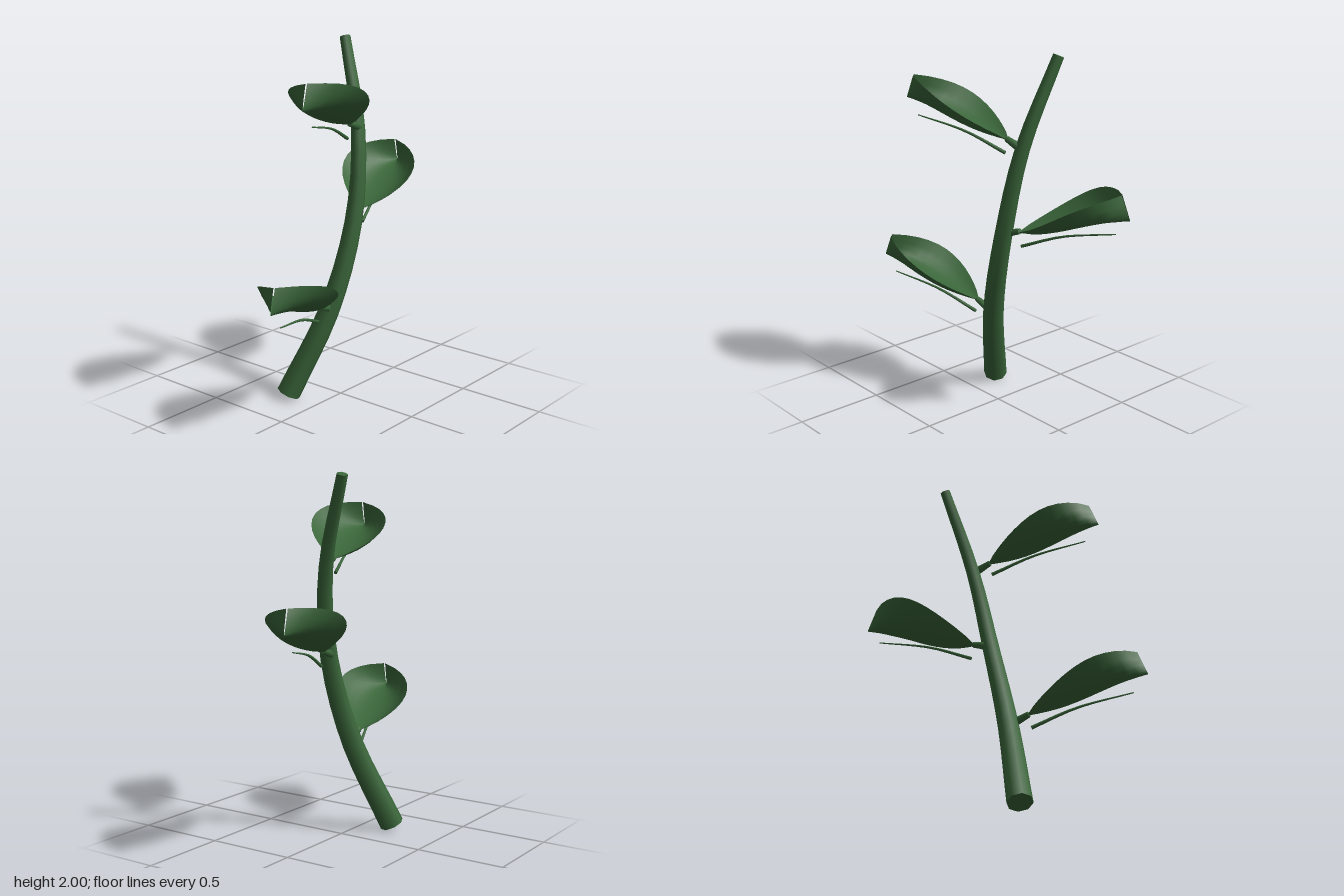
import * as THREE from 'three';

const green = new THREE.MeshStandardMaterial({ color: 0x3a663a, side: THREE.DoubleSide });
green.name = 'leaf green';

const V = (x, y, z) => new THREE.Vector3(x, y, z);

// Tapered, capped tube through a few points
function taperedTube(name, points, r0, r1, segments, sides) {
  const curve = new THREE.CatmullRomCurve3(points);
  const tube = new THREE.TubeGeometry(curve, segments, 1, sides);
  const pos = tube.attributes.position;
  const v = new THREE.Vector3();
  for (let i = 0; i <= segments; i++) {
    const c = curve.getPointAt(i / segments);
    const r = THREE.MathUtils.lerp(r0, r1, i / segments);
    for (let j = 0; j <= sides; j++) {
      const k = i * (sides + 1) + j;
      v.fromBufferAttribute(pos, k).sub(c).multiplyScalar(r).add(c);
      pos.setXYZ(k, v.x, v.y, v.z);
    }
  }
  const group = new THREE.Group();
  group.name = name;
  const side = new THREE.Mesh(tube, green);
  side.name = name + 'Side';
  group.add(side);

  // Flat end caps
  for (const i of [0, segments]) {
    const c = curve.getPointAt(i / segments);
    const fan = [];
    for (let j = 0; j < sides; j++) {
      const k = i * (sides + 1) + j;
      const a = new THREE.Vector3().fromBufferAttribute(pos, k);
      const b = new THREE.Vector3().fromBufferAttribute(pos, k + 1);
      if (i === 0) fan.push(c, a, b);
      else fan.push(c, b, a);
    }
    const geo = new THREE.BufferGeometry().setFromPoints(fan);
    geo.computeVertexNormals();
    const cap = new THREE.Mesh(geo, green);
    cap.name = name + 'Cap';
    group.add(cap);
  }
  return group;
}

// Cupped blade: a pointed outline whose sides rise into a fold toward the tip
function bladeGeometry() {
  const rows = 12, cols = 12, length = 0.645;
  const along = V(-0.95, 0, 0.312), across = V(0.312, 0, 0.95);
  const pts = [], index = [];
  for (let i = 0; i <= rows; i++) {
    const t = i / rows;
    const width = 0.2 * Math.pow(Math.abs(Math.sin(Math.PI * Math.pow(t, 1.1))), 0.8) + 0.004;
    const depth = 0.13 * Math.sin(Math.PI / 2 * Math.pow(t, 0.85));
    const spine = 0.165 * t - 0.01 * Math.sin(2 * Math.PI * t);
    for (let j = 0; j <= cols; j++) {
      const u = (2 * j) / cols - 1;
      const rise = depth * Math.pow(Math.abs(u), 2.4) + 0.12 * width * u;
      const p = along.clone().multiplyScalar(length * t - 0.38 * rise)
        .addScaledVector(across, width * u);
      pts.push(p.setY(spine + rise));
    }
  }
  for (let i = 0; i < rows; i++) {
    for (let j = 0; j < cols; j++) {
      const a = i * (cols + 1) + j, b = a + cols + 1;
      index.push(a, b, a + 1, b, b + 1, a + 1);
    }
  }
  const geo = new THREE.BufferGeometry().setFromPoints(pts);
  geo.setIndex(index);
  geo.computeVertexNormals();
  return geo;
}

// Leaf with its stalk and the slender rib hanging below
function makeLeaf(name, geometry) {
  const leaf = new THREE.Group();
  leaf.name = name;
  const blade = new THREE.Mesh(geometry, green);
  blade.name = 'blade';
  leaf.add(blade);
  leaf.add(taperedTube('stalk', [V(0.1, -0.035, -0.01), V(0.045, -0.012, 0), V(-0.01, 0.006, 0.002)], 0.025, 0.016, 4, 6));
  leaf.add(taperedTube('rib', [V(-0.025, -0.073, 0), V(-0.25, 0.018, 0.085), V(-0.53, 0.077, 0.19)], 0.01, 0.003, 8, 6));
  return leaf;
}

export function createModel() {
  const model = new THREE.Group();
  model.name = 'leafyStem';

  // Bowed main stem
  model.add(taperedTube('stem', [
    V(-0.237, 0.03, -0.185), V(-0.062, 0.54, -0.02), V(0.082, 1.04, 0.03),
    V(0.172, 1.51, -0.02), V(0.26, 1.988, -0.185),
  ], 0.068, 0.03, 16, 8));

  // Leaves alternate from side to side
  const blade = bladeGeometry();
  [
    ['lowerLeaf', -0.17, 0.56, 0],
    ['middleLeaf', 0.165, 1.05, Math.PI],
    ['upperLeaf', 0.08, 1.54, 0],
  ].forEach(([name, x, y, turn]) => {
    const leaf = makeLeaf(name, blade);
    leaf.position.set(x, y, 0);
    leaf.rotation.y = turn;
    model.add(leaf);
  });
  return model;
}
